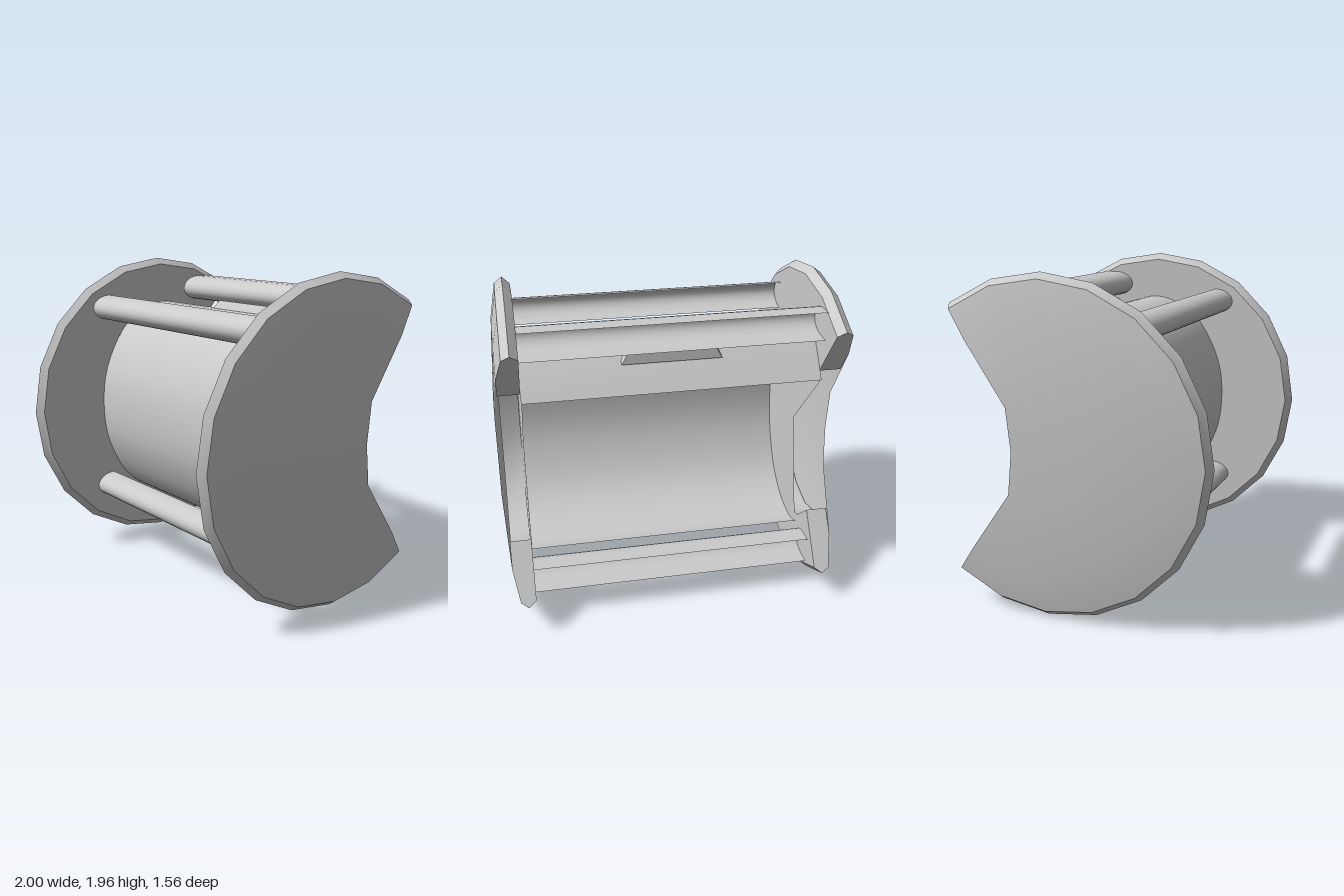
import * as THREE from 'three';
import { toCreasedNormals } from 'three/addons/utils/BufferGeometryUtils.js';

const CY = 0.985, CZ = -0.2; // axis of the end discs
const mat = new THREE.MeshStandardMaterial({ color: 0xcccccc, side: THREE.DoubleSide });

function add(parent, name, geometry) {
  const mesh = new THREE.Mesh(geometry, mat);
  mesh.name = name;
  parent.add(mesh);
  return mesh;
}

// Thin sheet: a (z, y) profile, listed from top to bottom, swept along x
function sheetX(points, length) {
  const g = new THREE.PlaneGeometry(length, 1, 1, points.length - 1);
  points.forEach((p, i) => {
    for (const k of [2 * i, 2 * i + 1]) g.attributes.position.setXYZ(k, g.attributes.position.getX(k), p.y, p.x);
  });
  g.computeVertexNormals();
  return g;
}

// Domed disc with a sector missing at the back, hollow behind the drum:
// rings of [x, radius] swept over 252 degrees
function discGeometry() {
  const segs = 14;
  const hole = (a) => 0.46 + 0.125 * Math.sin(a) ** 2 / Math.sin(2.199) ** 2; // follows the drum
  const rings = [[0.975, hole], [0.85, hole], [0.85, 0.94], [0.895, 0.98], [0.94, 0.945], [0.975, 0.75], [1, 0.308]];
  const rows = rings.map(([x, radius]) => Array.from({ length: segs + 1 }, (_, j) => {
    const a = THREE.MathUtils.degToRad(-126 + 18 * j);
    const r = typeof radius === 'function' ? radius(a) : radius;
    return [x, CY + r * Math.sin(a), CZ + r * Math.cos(a)];
  }));
  const hubEdge = [1, CY, -0.355]; // middle of the hub's rear edge
  const pos = [];
  const tri = (...p) => pos.push(...p.flat());
  for (let i = 0; i < rows.length - 1; i++) {
    const p = rows[i], q = rows[i + 1];
    for (let j = 0; j < segs; j++) {
      tri(p[j], q[j], q[j + 1]);
      tri(p[j], q[j + 1], p[j + 1]);
    }
    // end walls of the thick outer band
    if (i > 0 && i < 5) {
      tri(rows[0][segs], p[segs], q[segs]);
      tri(rows[0][0], q[0], p[0]);
    }
  }
  // flat hub
  const hub = rows[rows.length - 1];
  for (let j = 0; j < segs; j++) tri(hub[j], hubEdge, hub[j + 1]);
  const g = new THREE.BufferGeometry();
  g.setAttribute('position', new THREE.Float32BufferAttribute(pos, 3));
  return toCreasedNormals(g, 0.7);
}

// Channel rail: rounded nose at the front, straight legs to an open back
function railGeometry(nose, y, back) {
  const depth = 0.122, half = 0.082;
  const pts = Array.from({ length: 13 }, (_, i) => {
    const a = Math.PI / 2 - (Math.PI * i) / 12;
    return new THREE.Vector2(nose - depth + depth * Math.cos(a), y + half * Math.sin(a));
  });
  const legs = [y + half, y - half].map((h) => new THREE.Vector2(back, h));
  return sheetX([legs[0], ...pts, legs[1]], 1.71);
}

export function createModel() {
  const model = new THREE.Group();
  model.name = 'spool';

  // End discs
  const disc = discGeometry();
  add(model, 'leftDisc', disc);
  add(model, 'rightDisc', disc).scale.x = -1;

  // Curved drum wall, open at the back
  const curve = new THREE.SplineCurve([
    [-0.45, 1.6], [-0.25, 1.665], [-0.06, 1.63], [0.12, 1.49], [0.25, 1.24], [0.285, 0.985],
    [0.25, 0.73], [0.12, 0.48], [-0.06, 0.34], [-0.25, 0.295], [-0.37, 0.32],
  ].map(([z, y]) => new THREE.Vector2(z, y)));
  const profile = [new THREE.Vector2(-0.59, 1.42), ...curve.getPoints(40)];
  add(model, 'drum', sheetX(profile, 1.7));

  // Drum end plates, cut back to the axis
  const plate = new THREE.ShapeGeometry(new THREE.Shape([...profile, new THREE.Vector2(CZ, CY)]));
  plate.rotateY(-Math.PI / 2);
  add(model, 'leftDrumEnd', plate).position.x = 0.845;
  add(model, 'rightDrumEnd', plate).position.x = -0.845;

  // Low bevelled pad lying on top of the drum
  const pad = new THREE.CylinderGeometry(0.82 * Math.SQRT1_2, Math.SQRT1_2, 0.09, 4, 1).toNonIndexed();
  pad.rotateY(Math.PI / 4).scale(0.57, 1, 0.31).rotateX(-0.22).translate(0, 1.645, -0.36);
  pad.computeVertexNormals();
  add(model, 'pad', pad);

  // Cross rails: nose z, centre y, back z
  const rails = {
    frontTopRail: [0.345, 1.65, 0.22],
    frontBottomRail: [0.345, 0.41, 0.22],
    rearTopRail: [-0.4, 1.748, -0.6],
    rearBottomRail: [-0.4, 0.248, -0.6],
  };
  for (const [name, r] of Object.entries(rails)) add(model, name, railGeometry(...r));

  return model;
}
